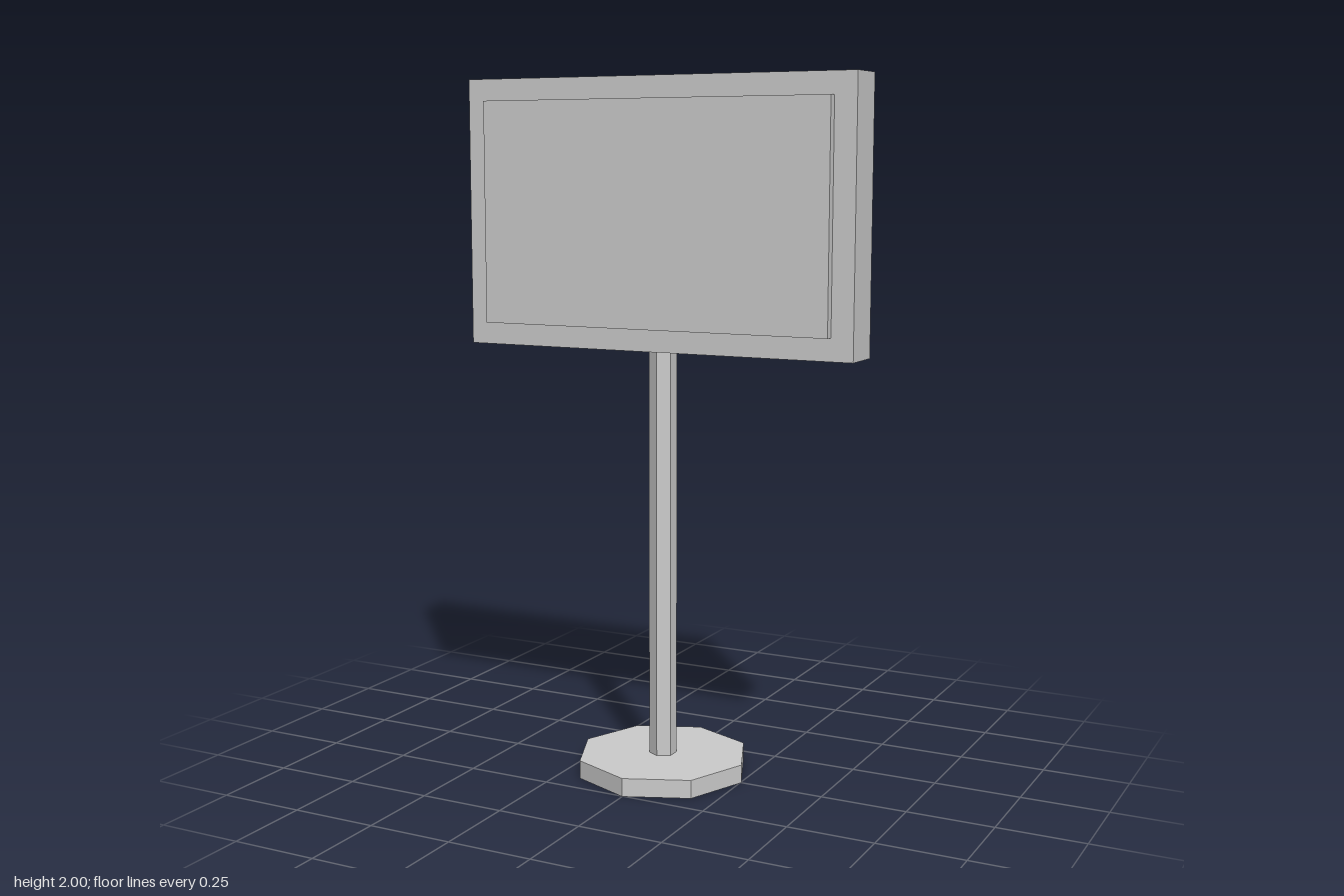
import * as THREE from 'three';

export function createModel() {
  const model = new THREE.Group();
  model.name = 'signStand';

  const grey = new THREE.MeshStandardMaterial({ color: 0xcccccc, flatShading: true });
  grey.name = 'light grey';

  const add = (name, geometry, y, z = 0) => {
    const mesh = new THREE.Mesh(geometry, grey);
    mesh.name = name;
    mesh.position.set(0, y, z);
    model.add(mesh);
  };

  // Octagonal foot with a corner facing forward
  add('base', new THREE.CylinderGeometry(0.253, 0.253, 0.053, 8), 0.0265);

  // Hexagonal pole from the foot to the underside of the board
  add('pole', new THREE.CylinderGeometry(0.04, 0.04, 1.187, 6), 0.6465);

  // Board and the raised panel on its front
  add('board', new THREE.BoxGeometry(1.194, 0.762, 0.126), 1.619);
  add('frontPanel', new THREE.BoxGeometry(1.066, 0.636, 0.026), 1.62, 0.075);

  return model;
}
